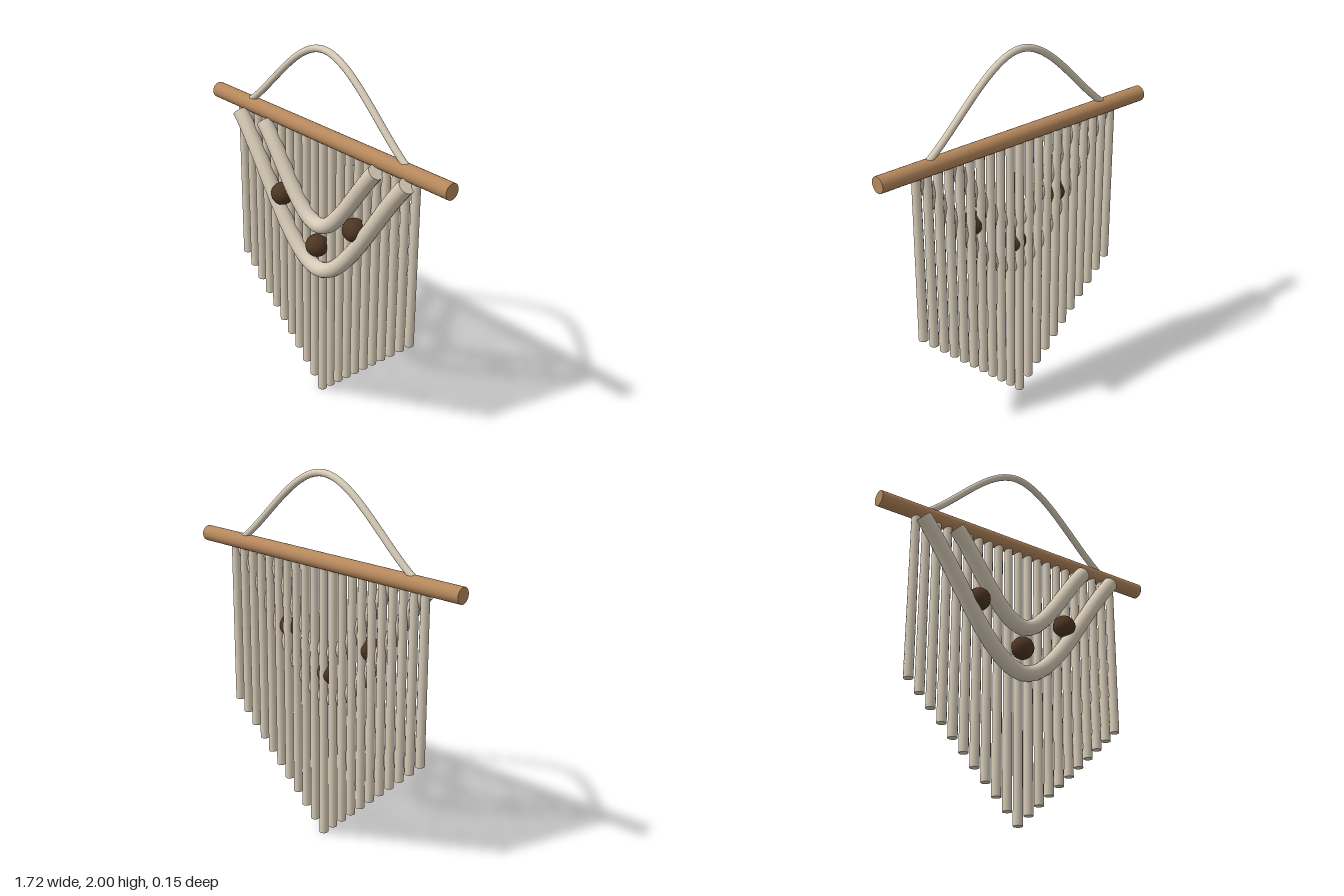
import * as THREE from 'three';

const material = (name, color) => {
  const m = new THREE.MeshStandardMaterial({ color });
  m.name = name;
  return m;
};

export function createModel() {
  const group = new THREE.Group();
  const cord = material('cream cord', 0xd8ccb8);
  const wood = material('light wood', 0xb5875c);
  const darkWood = material('dark wood', 0x4e3622);
  const BACK = -0.03, FRONT = 0.013;

  const add = (name, geometry, mat, x = 0, y = 0, z = 0, parent = group) => {
    const mesh = new THREE.Mesh(geometry, mat);
    mesh.name = name;
    mesh.position.set(x, y, z);
    parent.add(mesh);
    return mesh;
  };

  // Symmetric cord through two ends and a middle point, with closed ends
  const addCord = (name, halfWidth, endY, midY, z, radius) => {
    const part = new THREE.Group();
    part.name = name;
    group.add(part);
    const curve = new THREE.CatmullRomCurve3([
      new THREE.Vector3(-halfWidth, endY, z),
      new THREE.Vector3(0, midY, z),
      new THREE.Vector3(halfWidth, endY, z),
    ]);
    add(name + 'Tube', new THREE.TubeGeometry(curve, 48, radius, 16), cord, 0, 0, 0, part);
    for (const t of [0, 1]) {
      const p = curve.getPointAt(t);
      const out = curve.getTangentAt(t).multiplyScalar(t ? 1 : -1);
      const cap = add(name + 'End', new THREE.CircleGeometry(radius, 16), cord, p.x, p.y, p.z, part);
      cap.quaternion.setFromUnitVectors(new THREE.Vector3(0, 0, 1), out);
    }
  };

  // Horizontal rod
  const rod = add('rod', new THREE.CylinderGeometry(0.042, 0.042, 1.72, 24), wood, 0, 1.54, BACK);
  rod.rotation.z = Math.PI / 2;

  // Hanging loop above the rod
  addCord('hangingLoop', 0.575, 1.565, 1.982, BACK, 0.018);

  // Fringe forming a V along the bottom
  const fringe = new THREE.Group();
  fringe.name = 'fringe';
  group.add(fringe);
  for (let i = -10; i <= 10; i++) {
    const bottom = Math.abs(i) * 0.0615, top = 1.52;
    add('strand', new THREE.CylinderGeometry(0.0225, 0.025, top - bottom, 12), cord,
      i * 0.0645, (top + bottom) / 2, BACK + 0.003, fringe);
  }

  // Thick draped cords
  addCord('outerSwag', 0.622, 1.497, 0.791, FRONT - 0.002, 0.042);
  addCord('innerSwag', 0.42, 1.497, 1.05, FRONT - 0.002, 0.042);

  // Beads between the swags
  for (const [x, y] of [[-0.277, 1.13], [0, 0.93], [0.277, 1.13]]) {
    add('bead', new THREE.SphereGeometry(0.061, 24, 16), darkWood, x, y, FRONT);
  }
  return group;
}
